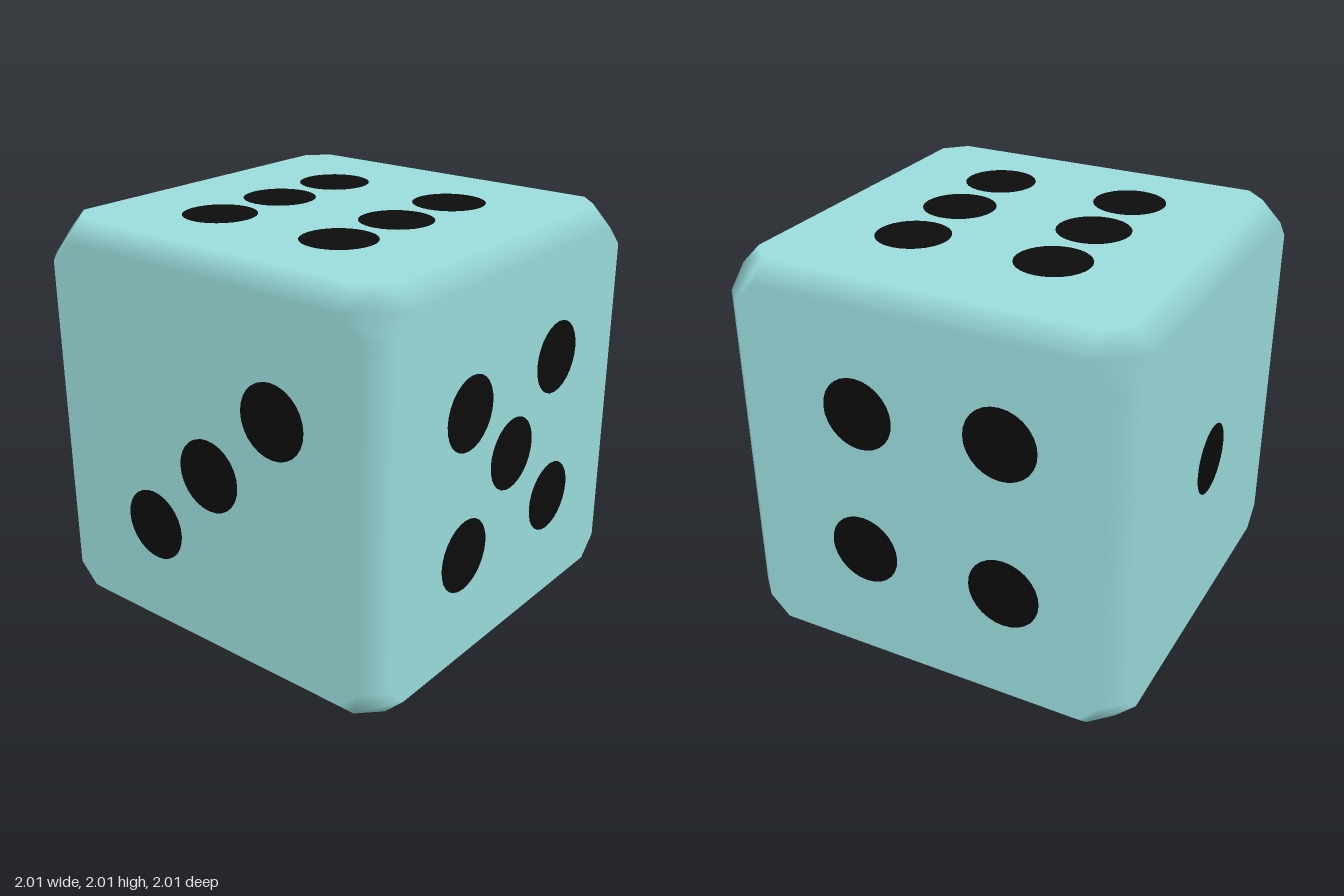
import * as THREE from 'three';

const A = 0.9, B = 0.8; // bevel and corner-cut insets on a half size of 1

// Convex block with bevelled edges and cut corners; normals blend across the bevels
function bevelledCube() {
  const pos = [], nor = [];
  const vec = (axes, vals) => {
    const a = [0, 0, 0];
    axes.forEach((k, i) => { a[k] = vals[i]; });
    return new THREE.Vector3(...a);
  };
  const faceNormal = p => p.toArray().map(c => (Math.abs(c) === 1 ? c : 0));
  const addPolygon = pts => {
    const centre = pts.reduce((s, p) => s.add(p), new THREE.Vector3());
    const n = pts[1].clone().sub(pts[0]).cross(pts[2].clone().sub(pts[0]));
    if (n.dot(centre) < 0) pts.reverse();
    for (let i = 1; i < pts.length - 1; i++) {
      for (const p of [pts[0], pts[i], pts[i + 1]]) {
        pos.push(p.x, p.y, p.z);
        nor.push(...faceNormal(p));
      }
    }
  };
  const signs = [-1, 1];
  for (let k = 0; k < 3; k++) {
    const j = (k + 1) % 3, m = (k + 2) % 3, axes = [k, j, m];
    for (const s of signs) {
      // flat side
      addPolygon([[A, B], [B, A], [-B, A], [-A, B], [-A, -B], [-B, -A], [B, -A], [A, -B]]
        .map(([u, w]) => vec(axes, [s, u, w])));
      // bevelled edges
      for (const t of signs) {
        addPolygon([[s, A * t, -B], [s, A * t, B], [A * s, t, B], [A * s, t, -B]]
          .map(c => vec(axes, c)));
      }
    }
  }
  // cut corners
  for (const x of signs) for (const y of signs) for (const z of signs) {
    addPolygon([[1, A, B], [1, B, A], [A, B, 1], [B, A, 1], [B, 1, A], [A, 1, B]]
      .map(c => new THREE.Vector3(c[0] * x, c[1] * y, c[2] * z)));
  }
  const g = new THREE.BufferGeometry();
  g.setAttribute('position', new THREE.Float32BufferAttribute(pos, 3));
  g.setAttribute('normal', new THREE.Float32BufferAttribute(nor, 3));
  return g;
}

export function createModel() {
  const model = new THREE.Group();
  model.name = 'die';
  const paleTeal = new THREE.MeshStandardMaterial({ color: 0x9bdddd });
  paleTeal.name = 'paleTeal';
  const black = new THREE.MeshStandardMaterial({ color: 0x0c0c0c });
  black.name = 'black';

  const body = new THREE.Mesh(bevelledCube(), paleTeal);
  body.name = 'body';
  body.position.y = 1;
  model.add(body);

  // Pip centres on each side, as [x, y, z]; the side's own axis is filled in below
  const h = 1.003;
  const sides = {
    front: { rot: [0, 0, 0], at: [[-0.36, 1.33, h], [0.36, 1.375, h], [0, 1.01, h], [-0.365, 0.64, h], [0.37, 0.645, h]] },
    back: { rot: [0, Math.PI, 0], at: [[0, 0.99, -h]] },
    positiveX: { rot: [0, Math.PI / 2, 0], at: [[h, 1.395, 0.29], [h, 1.435, -0.415], [h, 0.675, 0.3], [h, 0.675, -0.425]] },
    negativeX: { rot: [0, -Math.PI / 2, 0], at: [[-h, 1.355, 0.44], [-h, 0.985, 0.055], [-h, 0.615, -0.315]] },
    top: { rot: [-Math.PI / 2, 0, 0], at: [-0.46, -0.045, 0.375].flatMap(x => [[x, 1 + h, -0.345], [x + 0.008, 1 + h, 0.355]]) },
    bottom: { rot: [Math.PI / 2, 0, 0], at: [[0.336, 1 - h, 0.35], [-0.345, 1 - h, -0.405]] },
  };
  const disc = new THREE.CircleGeometry(0.176, 28);
  for (const [name, { rot, at }] of Object.entries(sides)) {
    const group = new THREE.Group();
    group.name = name + 'Pips';
    for (const p of at) {
      const pip = new THREE.Mesh(disc, black);
      pip.name = 'pip';
      pip.position.set(...p);
      pip.rotation.set(...rot);
      group.add(pip);
    }
    model.add(group);
  }
  return model;
}
